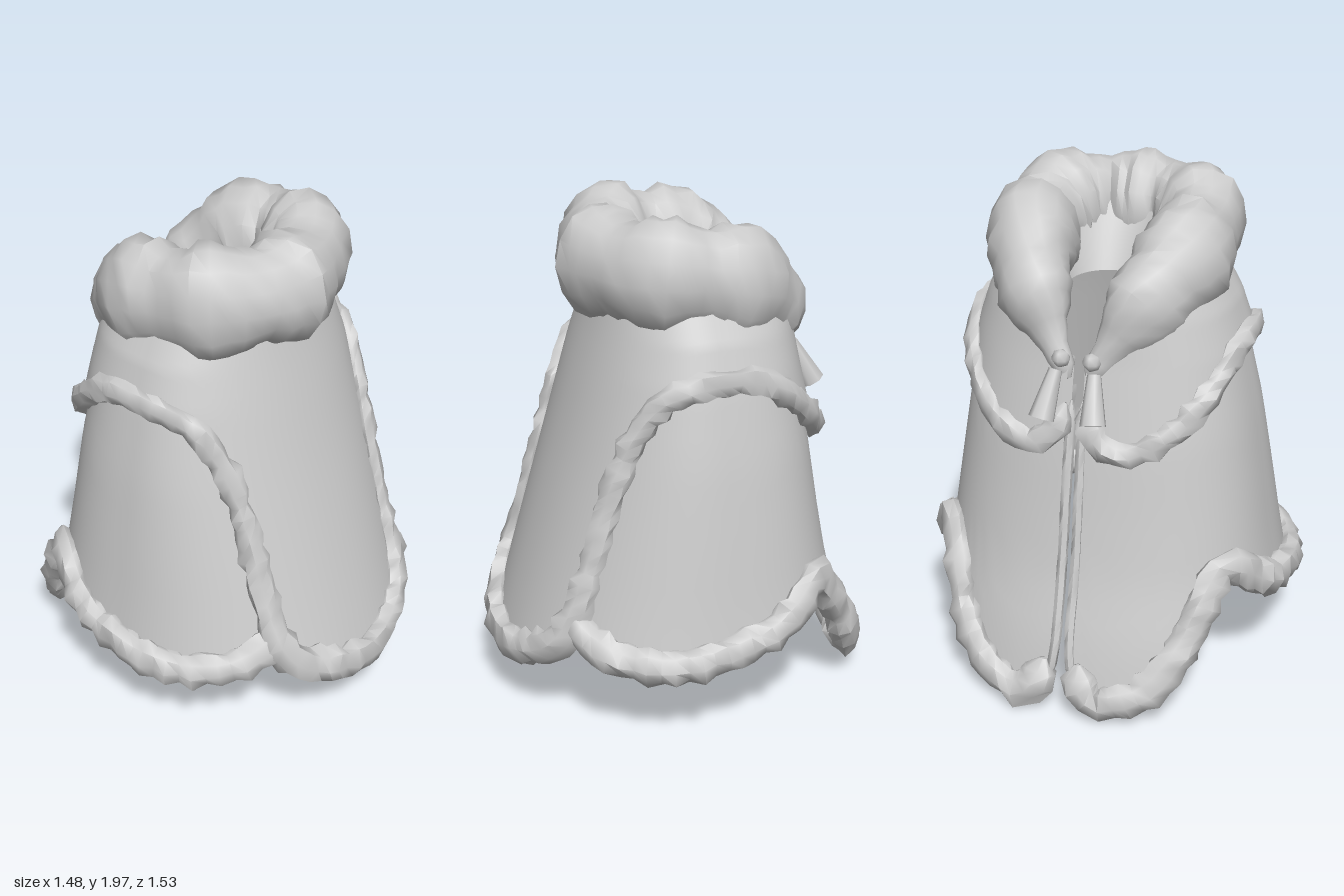
import * as THREE from 'three';
import { toCreasedNormals } from 'three/addons/utils/BufferGeometryUtils.js';

const V = (x, y, z) => new THREE.Vector3(x, y, z);

// Small seeded random for the fur
let seed = 7;
const rand = () => (seed = (seed * 16807) % 2147483647) / 2147483647;

// Cape silhouette: [height, half width, front depth, back depth]
const PROFILE = [
  [0, 0.72, 0.74, 0.715], [0.3, 0.685, 0.67, 0.655], [0.55, 0.645, 0.595, 0.585],
  [0.8, 0.61, 0.52, 0.54], [1.1, 0.565, 0.43, 0.495], [1.4, 0.5, 0.345, 0.43],
  [1.55, 0.45, 0.3, 0.405], [1.75, 0.34, 0.25, 0.38],
];

// Point on the cape at an angle in degrees (0 = front, 90 = left, 180 = back)
function onCape(a, y, offset = 0) {
  let k = 0;
  while (k < PROFILE.length - 2 && y > PROFILE[k + 1][0]) k++;
  const p = PROFILE[k], q = PROFILE[k + 1], t = (y - p[0]) / (q[0] - p[0]);
  const [rx, rf, rb] = [1, 2, 3].map((i) => p[i] + (q[i] - p[i]) * t + offset);
  const s = Math.sin(a * Math.PI / 180), c = Math.cos(a * Math.PI / 180);
  return V(Math.sign(s) * rx * Math.abs(s) ** (c < 0 ? 0.87 : 0.95), y,
    c < 0 ? -rb * Math.abs(c) ** 0.75 : rf * c ** 0.9);
}

// Surface through a list of point rows
function grid(rows, closed) {
  const n = rows[0].length, pos = [], index = [];
  rows.forEach((row) => row.forEach((p) => pos.push(p.x, p.y, p.z)));
  for (let i = 0; i < rows.length - 1; i++) {
    for (let j = 0; j < (closed ? n : n - 1); j++) {
      const k = (j + 1) % n;
      const a = i * n + j, b = i * n + k, c = b + n, d = a + n;
      index.push(a, b, c, a, c, d);
    }
  }
  const g = new THREE.BufferGeometry();
  g.setAttribute('position', new THREE.Float32BufferAttribute(pos, 3));
  g.setIndex(index);
  g.computeVertexNormals();
  return g;
}

// Smooth a list of [angle, height] pairs into evenly spaced ones
const smoothEdge = (pts, n) =>
  new THREE.CatmullRomCurve3(pts.map(([a, y]) => V(a / 60, y, 0)))
    .getSpacedPoints(n).map((p) => [p.x * 60, p.y]);

const mirrored = (pts) => pts.map(([a, y]) => [-a, y]).reverse();

// Cloth hanging from the collar to a lower edge
function cloth(edge, offset) {
  const rows = edge.map(([a, y]) => {
    const t = Math.max(0, (Math.abs(a) - 100) / 78);
    const top = 1.68 - 0.3 * t * t;
    return Array.from({ length: 15 }, (_, j) => onCape(a, top + (y - top) * j / 14, offset));
  });
  return grid(rows);
}

// Lumpy fur roll along a path; radius(t, point) gives its thickness
function furRoll(points, radius, { segs, sides, rough, tall = 1, axisZ = 0 }) {
  const curve = new THREE.CatmullRomCurve3(points);
  const rows = [];
  for (let i = 0; i <= segs; i++) {
    const t = i / segs, c = curve.getPointAt(t), tan = curve.getTangentAt(t);
    const out = V(c.x, 0, c.z - axisZ).normalize();
    out.addScaledVector(tan, -out.dot(tan)).normalize();
    const up = tan.clone().cross(out);
    const end = i === 0 || i === segs ? 0.15 : 1;
    const tuft = 1 + rough * [0.25, -0.15, 0.05, -0.25][i % 4];
    const row = [];
    for (let j = 0; j < sides; j++) {
      const th = j / sides * Math.PI * 2;
      const r = radius(t, c) * end * tuft * (1 + rough * (rand() - 0.5));
      row.push(c.clone().addScaledVector(out, r * Math.cos(th))
        .addScaledVector(up, r * tall * Math.sin(th)));
    }
    rows.push(row);
  }
  return toCreasedNormals(grid(rows, true), 1);
}

export function createModel() {
  const group = new THREE.Group();
  const inner = new THREE.Group();
  group.add(inner);
  const grey = new THREE.MeshStandardMaterial({ color: 0xcccccc, side: THREE.DoubleSide });
  grey.name = 'pale grey';
  const add = (name, geometry) => {
    const m = new THREE.Mesh(geometry, grey);
    m.name = name;
    inner.add(m);
    return m;
  };

  // Under cape: two halves split at the back, each with a long rear tail
  const hem = [
    [28, 0.5], [36, 0.45], [50, 0.39], [72, 0.375], [90, 0.41], [105, 0.49], [116, 0.57],
    [124, 0.6], [132, 0.51], [141, 0.35], [152, 0.19], [163, 0.115], [171, 0.1], [175, 0.16],
  ];
  const slit = [[178.5, 0.3], [178.5, 0.6], [178.5, 0.9], [178.5, 1.25]];
  for (const side of [1, -1]) {
    const pick = (pts) => (side > 0 ? pts : mirrored(pts));
    const name = side > 0 ? 'left' : 'right';
    add(name + 'Cape', cloth(pick(smoothEdge([...hem, [178.5, 0.24]], 56)), 0));
    const path = pick(smoothEdge([...hem, [176, 0.24]], 50)).map(([a, y]) => onCape(a, y, 0.01));
    add(name + 'HemFur', furRoll(path, () => 0.055,
      { segs: 44, sides: 8, rough: 0.4, tall: 1.35 }));
    add(name + 'SlitTrim', furRoll(pick([[177.5, 0.16], ...slit]).map(([a, y]) => onCape(a, y)),
      () => 0.02, { segs: 20, sides: 6, rough: 0.1 }));
  }

  // Over layer: long front panel flowing into a shoulder cape
  const half = [
    [10, 0.3], [20, 0.345], [27, 0.4], [31, 0.48], [33.5, 0.62], [36, 0.85], [39, 1.05],
    [46, 1.23], [57, 1.35], [75, 1.41], [95, 1.42], [110, 1.38], [125, 1.29],
    [140, 1.19], [155, 1.11], [167, 1.08], [174, 1.13], [177.5, 1.25],
  ];
  const edge = smoothEdge([...mirrored(half), [0, 0.28], ...half], 130);
  add('frontPanelAndShoulderCape', cloth(edge, 0.028));
  add('overLayerFur', furRoll(edge.map(([a, y]) => onCape(a, y, 0.03)),
    (t, c) => 0.055 - 0.017 * THREE.MathUtils.smoothstep(c.y, 0.4, 0.7),
    { segs: 116, sides: 7, rough: 0.42, tall: 1.35 }));

  // Thick fur collar, tapering to two ends at the back
  const collar = [
    V(0.035, 1.33, -0.45), V(0.13, 1.47, -0.4), V(0.23, 1.62, -0.3),
    V(0.3, 1.73, -0.12), V(0.29, 1.77, 0.1), V(0.17, 1.775, 0.23),
  ];
  const flip = (p) => V(-p.x, p.y, p.z);
  // Ordered right to left so the roll is swept around the neck
  const ring = [...collar.map(flip), V(0, 1.77, 0.27), ...collar.slice().reverse()];
  add('furCollar', furRoll(ring,
    (t) => {
      const d = Math.abs(t - 0.5);
      const lump = 1 + 0.09 * Math.cos(d * Math.PI * 2 * 8);
      return (0.035 + 0.127 * THREE.MathUtils.smoothstep(0.5 - d, 0, 0.22)) * lump;
    }, { segs: 56, sides: 14, rough: 0.13, tall: 1.25, axisZ: -0.1 }));

  // Lining funnelling down from the front of the collar to the neck opening
  const levels = [[1.82, 0.23, 0.28], [1.7, 0.19, 0.21], [1.58, 0.15, 0.15]];
  add('neckLining', grid(levels.map(([y, rx, rz]) =>
    Array.from({ length: 23 }, (_, i) => {
      const a = (i - 11) / 11 * 1.75;
      return V(rx * Math.sin(a), y, -0.13 + rz * Math.cos(a));
    }))));

  // Tassels with knots at the back closure
  for (const side of [1, -1]) {
    const name = side > 0 ? 'left' : 'right';
    const top = V(0.075 * side, 1.375, -0.485), bottom = V(0.1 * side, 1.21, -0.57);
    const dir = top.clone().sub(bottom);
    const tassel = add(name + 'Tassel', new THREE.CylinderGeometry(0.026, 0.05, dir.length(), 7));
    tassel.position.copy(top).add(bottom).multiplyScalar(0.5);
    tassel.quaternion.setFromUnitVectors(V(0, 1, 0), dir.normalize());
    const knot = add(name + 'Knot', new THREE.OctahedronGeometry(0.036, 1));
    knot.position.set(0.06 * side, 1.415, -0.47);
  }

  // Stand on the ground, centred
  inner.updateMatrixWorld(true);
  const box = new THREE.Box3().setFromObject(inner, true);
  inner.position.set(-(box.min.x + box.max.x) / 2, -box.min.y, -(box.min.z + box.max.z) / 2);
  return group;
}
